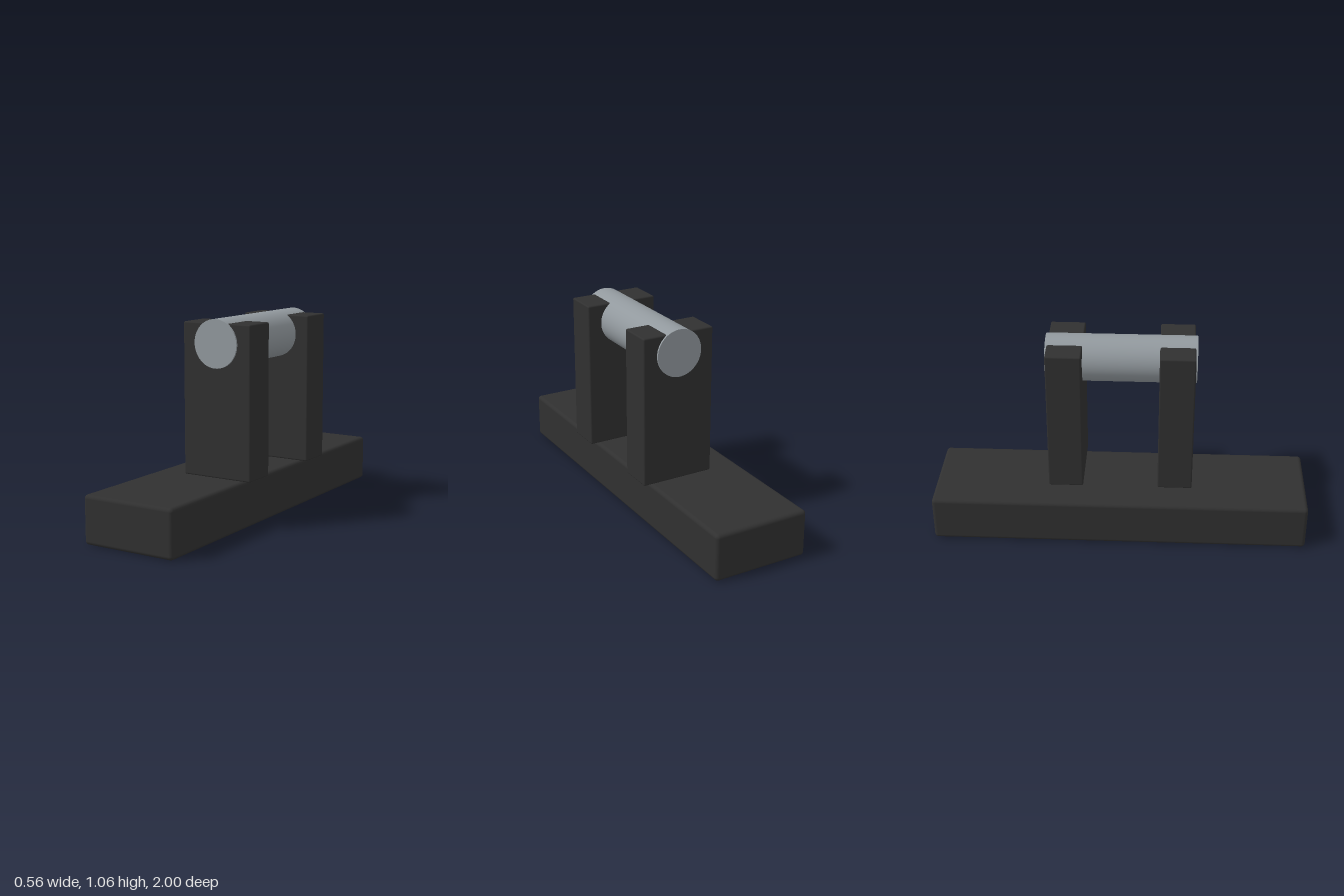
import * as THREE from 'three';
import { RoundedBoxGeometry } from 'three/addons/geometries/RoundedBoxGeometry.js';

export function createModel() {
  const model = new THREE.Group();
  model.name = 'rollerStand';

  const darkPlastic = new THREE.MeshStandardMaterial({ color: 0x303030 });
  darkPlastic.name = 'dark grey';
  const steel = new THREE.MeshStandardMaterial({ color: 0x92999e });
  steel.name = 'steel grey';

  function add(name, geometry, material, x, y, z) {
    const mesh = new THREE.Mesh(geometry, material);
    mesh.name = name;
    mesh.position.set(x, y, z);
    model.add(mesh);
    return mesh;
  }

  // Long base block with softened edges
  add('base', new RoundedBoxGeometry(0.52, 0.25, 2, 4, 0.02), darkPlastic, -0.022, 0.125, 0);

  // Two uprights, slightly overhanging the base on one side
  for (const [name, side] of [['frontUpright', 1], ['backUpright', -1]]) {
    add(name, new RoundedBoxGeometry(0.395, 0.79, 0.185, 3, 0.008), darkPlastic, 0.083, 0.647, side * 0.293);
  }

  // Round bar through the tops of both uprights
  const bar = add('crossBar', new THREE.CylinderGeometry(0.124, 0.124, 0.79, 64), steel, 0.083, 0.939, 0);
  bar.rotation.x = Math.PI / 2;

  return model;
}
